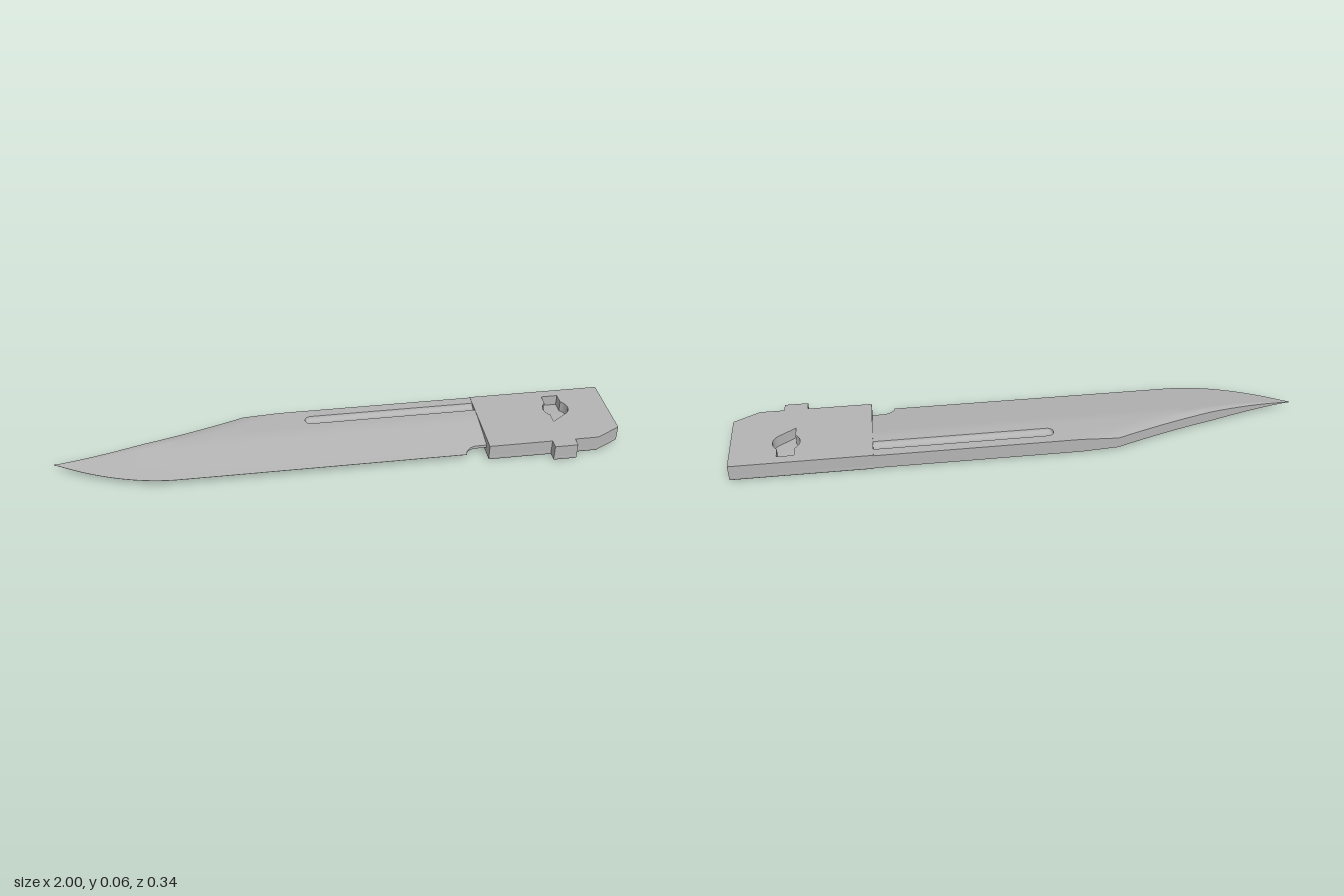
import * as THREE from 'three';
import { toCreasedNormals } from 'three/addons/utils/BufferGeometryUtils.js';

const BACK = -0.17, EDGE = 0.133, MID_Y = 0.0315, HALF = 0.0265;
const clamp = THREE.MathUtils.clamp;

// Outline of the blade seen from above
function spineZ(x) {
  return x > -0.33 ? BACK : -0.01 - 0.16 * Math.pow((x + 1) / 0.67, 1.5);
}
function edgeZ(x) {
  return x > -0.57 ? EDGE : EDGE - 0.143 * Math.pow((-0.57 - x) / 0.43, 1.9);
}
// Rounded notch between the cutting edge and the tang
function notchZ(x) {
  if (x <= 0.435) return EDGE;
  const u = clamp((x - 0.435) / 0.045, 0, 1);
  return EDGE - 0.038 * Math.sqrt(1 - (1 - u) * (1 - u));
}

// Cross-sections joined along the length, with a groove on both faces
function bladeGeometry() {
  const xs = [];
  for (let i = 0; i <= 32; i++) xs.push(-1 + 0.67 * i / 32);
  xs.push(-0.28, -0.2, -0.14, -0.1105);
  const grooveStart = -0.11, W = 0.0215, DEPTH = 0.014, grooveMid = -0.112;
  for (let i = 0; i <= 8; i++) xs.push(grooveStart + W * (1 - Math.cos(i / 8 * Math.PI / 2)));
  xs.push(0.1, 0.3, 0.4, 0.435);
  for (let i = 1; i <= 8; i++) xs.push(0.435 + 0.045 * (1 - Math.cos(i / 8 * Math.PI / 2)));
  xs.push(0.53);

  const grooveK = [-1, -0.95, -0.75, -0.4, 0, 0.4, 0.75, 0.95, 1];
  const flats = [-0.068, -0.047, -0.02, 0.02, 0.08, EDGE];
  const pos = [], index = [];
  let n = 0;
  for (const x of xs) {
    const a = spineZ(x), b = Math.max(edgeZ(x), a + 0.003);
    const u = clamp((x - grooveStart) / W, 0, 1);
    const w = Math.max(0.002, W * Math.sqrt(1 - (1 - u) * (1 - u)));
    const cut = x > grooveStart ? DEPTH * Math.sqrt(w / W) : 0;
    const stations = [[BACK, 0], [-0.142, 0],
      ...grooveK.map(k => [grooveMid + k * w, cut * Math.sqrt(1 - k * k)]),
      ...flats.map(z => [z, 0])];
    const swedge = 1 - 0.25 * clamp((-0.2 - x) / 0.13, 0, 1);
    const top = stations.map(([z0, d], i) => {
      const z = Math.min(a + (b - a) * (z0 - BACK) / (EDGE - BACK), notchZ(x));
      let h = HALF * clamp((b - z) / 0.18, 0.02, 1) - d;
      if (i === 0) h *= swedge;
      return [z, h];
    });
    for (const [z, h] of top) pos.push(x, MID_Y + h, z);
    for (const [z, h] of [...top].reverse()) pos.push(x, MID_Y - h, z);
    n = top.length * 2;
  }
  for (let i = 0; i < xs.length - 1; i++) {
    for (let j = 0; j < n; j++) {
      const k = (j + 1) % n;
      const p = i * n + j, q = i * n + k;
      index.push(p, q, p + n, q, q + n, p + n);
    }
  }
  const g = new THREE.BufferGeometry();
  g.setAttribute('position', new THREE.Float32BufferAttribute(pos, 3));
  g.setIndex(index);
  return toCreasedNormals(g, 0.5);
}

// Tang outline, drawn with -z as the shape's y
function tangShape() {
  return new THREE.Shape([
    [0.515, -0.133], [0.742, -0.133], [0.742, -0.167], [0.825, -0.167], [0.825, -0.133],
    [0.91, -0.133], [1, -0.085], [1, 0.17], [0.515, 0.17],
  ].map(([x, y]) => new THREE.Vector2(x, y)));
}

// Slot with a round middle
function keyholePath() {
  const cx = 0.81, cy = 0.058, r = 0.047, s = 0.03, a = Math.acos(s / r);
  const p = new THREE.Path();
  p.moveTo(cx + s, -0.02);
  p.absarc(cx, cy, r, -a, a, false);
  p.lineTo(cx + s, 0.135);
  p.lineTo(cx - s, 0.135);
  p.absarc(cx, cy, r, Math.PI - a, Math.PI + a, false);
  p.lineTo(cx - s, -0.02);
  p.closePath();
  return p;
}

export function createModel() {
  const group = new THREE.Group();
  const steel = new THREE.MeshStandardMaterial({ color: 0xb4b4b4 });
  steel.name = 'steel grey';

  const add = (name, geometry) => {
    const mesh = new THREE.Mesh(geometry, steel);
    mesh.name = name;
    group.add(mesh);
  };

  add('blade', bladeGeometry());

  // Upper tang with the keyhole pocket
  const upper = tangShape();
  upper.holes.push(keyholePath());
  const upperGeo = new THREE.ExtrudeGeometry(upper, { depth: 0.045, bevelEnabled: false, curveSegments: 10 });
  upperGeo.rotateX(-Math.PI / 2).translate(0, 0.015, 0);
  add('tang', toCreasedNormals(upperGeo, 0.5));

  // Lower tang: rounded underside and pocket floor
  const lowerGeo = new THREE.ExtrudeGeometry(tangShape(), {
    depth: 0.01, bevelEnabled: true, bevelThickness: 0.005, bevelSize: 0.005, bevelOffset: -0.005, bevelSegments: 3,
  });
  lowerGeo.rotateX(-Math.PI / 2).translate(0, 0.005, 0);
  add('tangBase', toCreasedNormals(lowerGeo, 0.6));

  return group;
}
